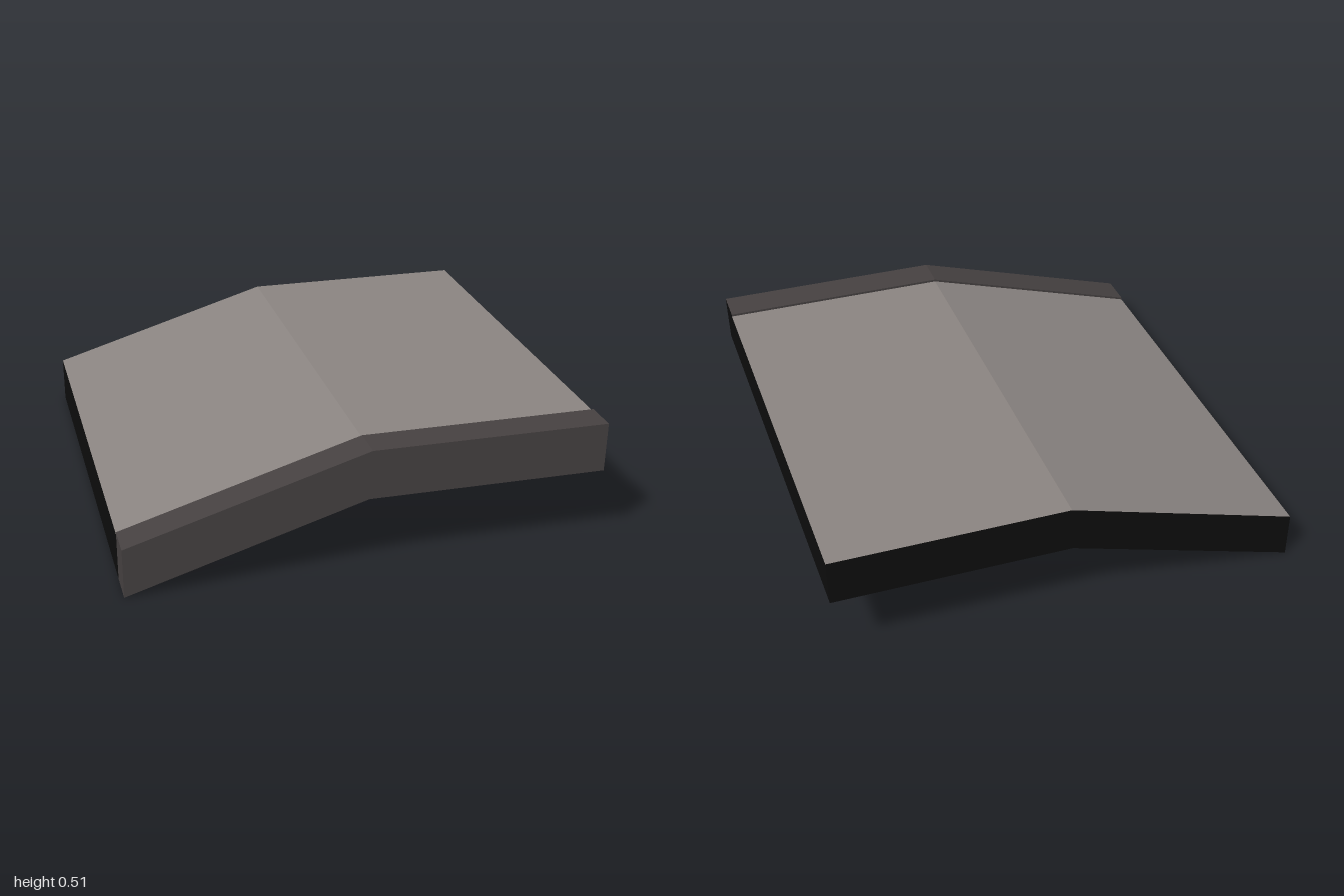
import * as THREE from 'three';

// Bent profile, low at -x and level from the middle to +x
const TOP = [[-1, 0.2], [0, 0.5], [1, 0.5]];
const BOTTOM = [[-1, 0], [-0.01, 0.3], [0.995, 0.3]];
const CURB_Z = 0.85;
const CURB_RISE = 0.01;

// Place profile points at a depth z, optionally raised
const at = (profile, z, lift = 0) => profile.map(([x, y]) => new THREE.Vector3(x, y + lift, z));

// Flat-faced ribbon between two paths; its front is to the left of a when b is above it
function ribbon(a, b) {
  const points = [];
  for (let i = 0; i < a.length - 1; i++) {
    points.push(a[i], a[i + 1], b[i + 1], a[i], b[i + 1], b[i]);
  }
  const geometry = new THREE.BufferGeometry().setFromPoints(points);
  geometry.computeVertexNormals();
  return geometry;
}

export function createModel() {
  const group = new THREE.Group();
  const material = (name, color) => {
    const m = new THREE.MeshStandardMaterial({ color });
    m.name = name;
    return m;
  };
  const road = material('road grey', 0x8a8481);
  const curb = material('curb dark grey', 0x464141);
  const base = material('base black', 0x0d0d0d);

  const add = (name, mat, a, b) => {
    const mesh = new THREE.Mesh(ribbon(a, b), mat);
    mesh.name = name;
    group.add(mesh);
  };

  const roadBack = at(TOP, -1);
  const roadFront = at(TOP, CURB_Z);
  const curbBack = at(TOP, CURB_Z, CURB_RISE);
  const curbFront = at(TOP, 1, CURB_RISE);
  const lowBack = at(BOTTOM, -1);
  const lowMid = at(BOTTOM, CURB_Z);
  const lowFront = at(BOTTOM, 1);

  // Road surface
  add('roadSurface', road, roadFront, roadBack);

  // Raised curb along the front
  add('curbTop', curb, curbFront, curbBack);
  add('curbFront', curb, lowFront, curbFront);
  add('curbInnerWall', curb, curbBack, roadFront);
  add('curbLowEnd', curb, [lowMid[0], lowFront[0]], [curbBack[0], curbFront[0]]);
  add('curbHighEnd', base, [lowFront[2], lowMid[2]], [curbFront[2], curbBack[2]]);

  // Dark base: underside, back and ends
  add('underside', base, lowBack, lowFront);
  add('backWall', base, roadBack, lowBack);
  add('lowEnd', base, [lowBack[0], lowMid[0]], [roadBack[0], roadFront[0]]);
  add('highEnd', base, [lowMid[2], lowBack[2]], [roadFront[2], roadBack[2]]);

  return group;
}
